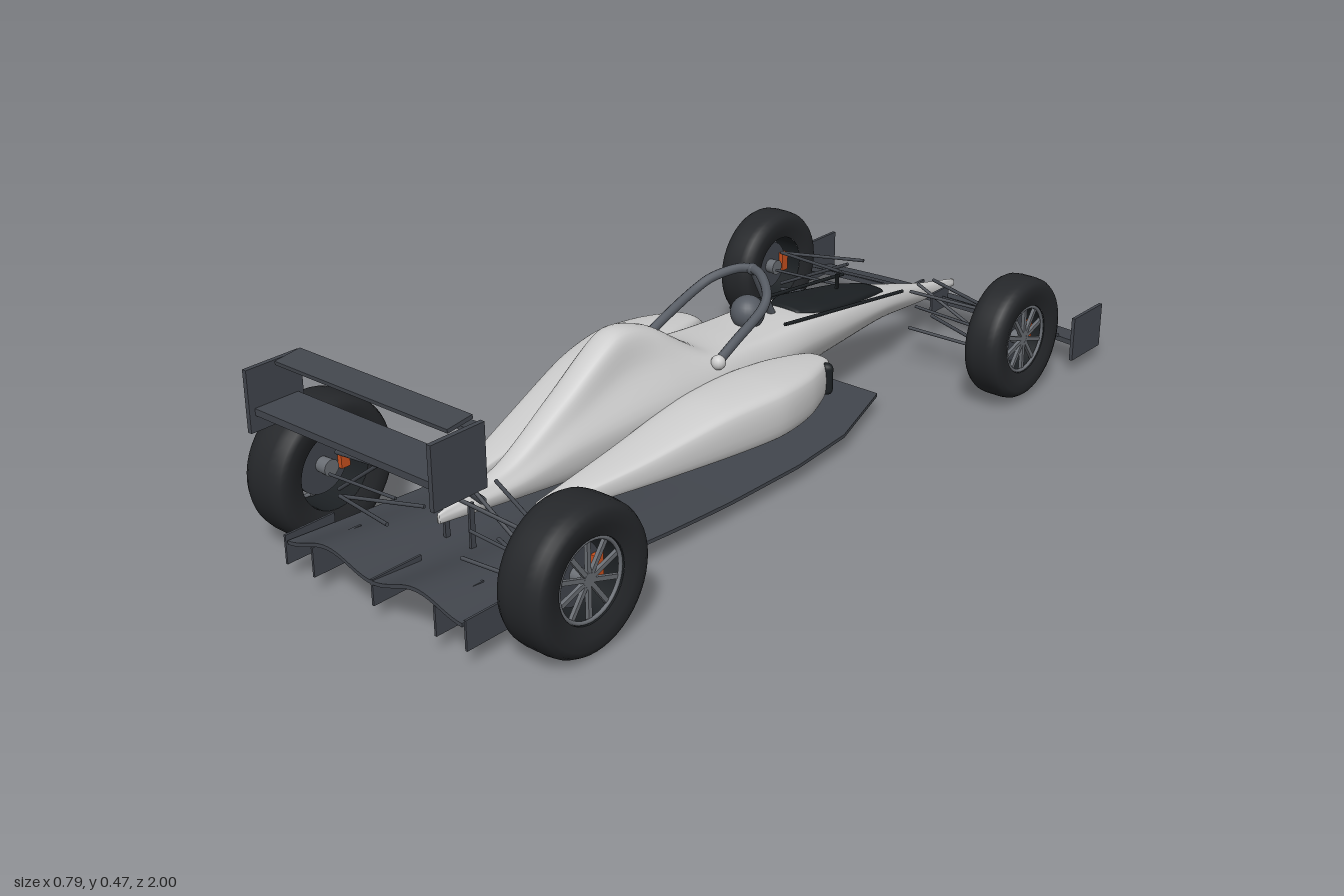
import * as THREE from 'three';

const V = (x, y, z) => new THREE.Vector3(x, y, z);
const mat = (color, side = THREE.FrontSide) => new THREE.MeshStandardMaterial({ color, side });
const M = {
  body: mat(0xcccccc), carbon: mat(0x42464d, THREE.DoubleSide), tube: mat(0x555a62),
  tyre: mat(0x25272a), dark: mat(0x1c2023), rim: mat(0x6a6e74, THREE.DoubleSide), caliper: mat(0xc8501e),
};

export function createModel() {
  const car = new THREE.Group();
  car.name = 'racingCar';

  function add(name, geo, material, parent = car, x = 0, y = 0, z = 0) {
    const m = new THREE.Mesh(geo, material);
    m.name = name;
    m.position.set(x, y, z);
    parent.add(m);
    return m;
  }
  const box = (name, w, h, d, x, y, z, material = M.carbon) =>
    add(name, new THREE.BoxGeometry(w, h, d), material, car, x, y, z);

  // straight round bar between two points
  function rod(name, a, b, r, material = M.carbon) {
    const m = add(name, new THREE.CylinderGeometry(r, r, a.distanceTo(b), 10), material);
    m.position.copy(a).add(b).multiplyScalar(0.5);
    m.quaternion.setFromUnitVectors(V(0, 1, 0), b.clone().sub(a).normalize());
    return m;
  }

  // smooth skin through closed rings running from -z to +z
  function loft(name, rings, material, rows = 60, cols = 40) {
    const rails = rings[0].map((_, i) => new THREE.CatmullRomCurve3(rings.map(r => r[i]), false, 'catmullrom', 0.4));
    const pos = [], idx = [];
    for (let s = 0; s <= rows; s++) {
      const ring = new THREE.CatmullRomCurve3(rails.map(c => c.getPoint(s / rows)), true, 'centripetal');
      for (let i = 0; i < cols; i++) pos.push(...ring.getPoint(i / cols).toArray());
    }
    for (let s = 0; s < rows; s++) for (let i = 0; i < cols; i++) {
      const j = (i + 1) % cols, a = s * cols + i, b = s * cols + j;
      idx.push(a, b, a + cols, b, b + cols, a + cols);
    }
    for (let i = 1; i < cols - 1; i++) {
      const e = rows * cols;
      idx.push(0, i + 1, i, e, e + i, e + i + 1);
    }
    const g = new THREE.BufferGeometry();
    g.setAttribute('position', new THREE.Float32BufferAttribute(pos, 3));
    g.setIndex(idx);
    g.computeVertexNormals();
    return add(name, g, material);
  }

  // hull: z, bottom y/half-width, waist, shoulder, top
  const hull = [
    [-0.955, .095, .003, .102, .006, .108, .004, .112, .003],
    [-0.80, .103, .012, .120, .019, .138, .016, .145, .008],
    [-0.60, .125, .030, .160, .055, .185, .046, .195, .030],
    [-0.40, .128, .050, .180, .085, .215, .075, .226, .050],
    [-0.25, .125, .060, .190, .100, .235, .085, .245, .050],
    [-0.08, .122, .062, .190, .110, .243, .088, .252, .050],
    [0.06, .120, .064, .195, .116, .255, .092, .270, .040],
    [0.19, .118, .062, .200, .106, .290, .068, .345, .030],
    [0.30, .118, .056, .200, .090, .290, .050, .365, .027],
    [0.45, .120, .045, .185, .064, .235, .042, .275, .022],
    [0.60, .125, .025, .155, .037, .175, .027, .190, .014],
    [0.77, .135, .003, .145, .005, .150, .004, .155, .002],
  ];
  loft('hull', hull.map(([z, yb, wb, ym, w, ys, ws, yt, wt]) => {
    const half = [[wb, yb], [w, ym], [ws, ys], [wt, yt]];
    return [...half.map(p => V(p[0], p[1], z)), ...half.reverse().map(p => V(-p[0], p[1], z))];
  }), M.body, 88, 48);

  // rounded-box ring used for the pods and cockpit cover
  const roundRing = (z, cx, hw, yb, yt, k = 0.72) => {
    const cy = (yb + yt) / 2, hh = (yt - yb) / 2;
    return [[1, -k], [1, k], [k, 1], [-k, 1], [-1, k], [-1, -k], [-k, -1], [k, -1]]
      .map(([a, b]) => V(cx + a * hw, cy + b * hh, z));
  };

  // dark cockpit cover lying on top of the hull
  loft('cockpitCover', [
    [-0.605, .033, .180, .200], [-0.52, .048, .195, .219], [-0.40, .062, .205, .236],
    [-0.33, .062, .215, .247], [-0.27, .040, .225, .250],
  ].map(([z, w, a, b]) => roundRing(z, 0, w, a, b, 0.6)), M.dark, 24, 32);
  box('antenna', .006, .035, .008, 0, .25, -.47, M.dark);

  for (const s of [1, -1]) {
    // side pods: z, inner x, outer x, bottom, top
    loft('sidePod', [
      [-0.185, .160, .190, .165, .200], [-0.15, .145, .215, .142, .220], [-0.05, .115, .250, .128, .232],
      [0.06, .100, .261, .124, .236], [0.20, .090, .236, .122, .225], [0.40, .085, .185, .122, .180],
      [0.60, .085, .125, .122, .142],
    ].map(([z, xi, xo, a, b]) => roundRing(z, s * (xi + xo) / 2, (xo - xi) / 2, a, b)), M.body);
    const inlet = add('podInlet', new THREE.CapsuleGeometry(.012, .048, 6, 12), M.dark, car, s * .222, .185, -.135);
    inlet.scale.x = 1.2;

    rod('cockpitRail', V(s * .085, .205, -.61), V(s * .075, .255, -.18), .004, M.dark);

    // head guard: one arm per side
    const arm = new THREE.CatmullRomCurve3([V(s * .1, .255, .085), V(s * .098, .285, .02), V(s * .09, .328, -.085),
      V(s * .075, .346, -.115), V(s * .03, .368, -.15), V(0, .372, -.16)]);
    add('guardArm', new THREE.TubeGeometry(arm, 32, .0105, 10), M.tube);
    add('guardFoot', new THREE.SphereGeometry(.016, 14, 10), M.body, car, s * .1, .258, .075);

    // rear wing plates and struts
    box('rearWingEndplate', .01, .125, .125, s * .24, .393, .935);
    rod('rearWingStrut', V(s * .047, .17, .70), V(s * .047, .365, .895), .008, M.tube);

    // front wing plates and nose pylons
    box('frontWingEndplate', .008, .105, .125, s * .391, .083, -.93);
    box('nosePylon', .006, .05, .07, s * .035, .1, -.845);

    // diffuser fences
    for (const x of [.165, .243]) box('diffuserFence', .005, .062, .12, s * x, .066, .88);
    box('diffuserStay', .006, .1, .012, s * .035, .12, .72);

    wheel('rearWheel', s, .34, .15, .765, .15, .055);
    wheel('frontWheel', s, .35, .148, -.665, .14, .045);

    // suspension: z of hub, then [hub y, inner y] of each arm pair
    for (const [z, xh] of [[.765, .29], [-.665, .31]]) {
      const rear = z > 0;
      for (const dz of [-.05, .045]) {
        rod('upperArm', V(s * xh, .19, z), V(s * .1, rear ? .235 : .205, z + dz), .004);
        rod('lowerArm', V(s * xh, .095, z), V(s * .1, .115, z + dz), .004);
      }
      rod('pushRod', V(s * xh, .11, z), V(s * .1, rear ? .25 : .215, z + .015), .004);
      rod('trackRod', V(s * xh, .15, z + .02), V(s * .1, .16, z + .02), .0035);
    }
  }
  box('diffuserFence', .005, .055, .12, 0, .063, .88);
  rod('guardPillar', V(0, .374, -.16), V(0, .235, -.235), .009, M.tube);
  add('guardJoint', new THREE.SphereGeometry(.013, 14, 10), M.tube, car, 0, .37, -.16);
  add('driverHelmet', new THREE.SphereGeometry(.038, 24, 16), M.tube, car, 0, .275, -.145);

  // rear wing planes
  box('rearWingMain', .48, .014, .1, 0, .37, .935);
  box('rearWingLowerFlap', .45, .007, .04, 0, .437, .875).rotation.x = -.15;
  box('rearWingUpperFlap', .45, .008, .06, 0, .458, .91).rotation.x = .12;

  // swept front wing planes
  function sweptPlane(name, w, h, d, y, z, tilt, sweep) {
    const g = new THREE.BoxGeometry(w, h, d, 24, 1, 4), p = g.attributes.position;
    for (let i = 0; i < p.count; i++) {
      const x = p.getX(i), pz = p.getZ(i);
      p.setY(i, p.getY(i) + tilt * pz);
      p.setZ(i, pz + sweep * (2 * x / w) ** 2);
    }
    g.computeVertexNormals();
    add(name, g, M.carbon, car, 0, y, z);
  }
  sweptPlane('frontWingMain', .78, .012, .085, .055, -.957, .2, .025);
  sweptPlane('frontWingFlap', .68, .008, .068, .087, -.89, .45, .028);

  // floor sheet rising into a double-arched diffuser
  const outline = [[-.4, .17], [-.18, .24], [0, .255], [.4, .248], [.6, .24], [.94, .235]];
  const halfWidth = z => {
    let i = 1;
    while (i < outline.length - 1 && z > outline[i][0]) i++;
    const [z0, w0] = outline[i - 1], [z1, w1] = outline[i];
    return THREE.MathUtils.lerp(w0, w1, (z - z0) / (z1 - z0));
  };
  const floor = new THREE.BoxGeometry(2, .008, 1.34, 40, 1, 67), fp = floor.attributes.position;
  for (let i = 0; i < fp.count; i++) {
    const z = fp.getZ(i) + .27, x = fp.getX(i) * halfWidth(z);
    const t = Math.max(0, (z - .2) / .74) ** 1.3;
    fp.setXYZ(i, x, fp.getY(i) + .04 + t * (.058 - .014 * Math.cos(x * Math.PI / .12)), z);
  }
  floor.computeVertexNormals();
  add('floor', floor, M.carbon);

  // tyre, rim with ten spokes, hub, brake disc and caliper; local +y points outwards
  function wheel(name, s, x, y, z, R, w) {
    const g = new THREE.Group();
    g.name = name;
    g.position.set(s * x, y, z);
    g.rotation.z = -s * Math.PI / 2;
    car.add(g);
    const r = R * .56;
    const half = [[r, .8], [R * .72, .97], [R * .86, 1], [R * .94, .9], [R * .985, .68], [R, .35]];
    const prof = [...half.map(([a, b]) => new THREE.Vector2(a, -b * w)), ...half.reverse().map(([a, b]) => new THREE.Vector2(a, b * w))];
    add('tyre', new THREE.LatheGeometry(prof, 48), M.tyre, g);
    add('rimBarrel', new THREE.CylinderGeometry(r, r, w * 1.6, 40, 1, true), M.dark.clone(), g).material.side = THREE.DoubleSide;
    add('rimRing', new THREE.TorusGeometry(r * .95, .004, 8, 40), M.rim, g, 0, w * .7, 0).rotation.x = Math.PI / 2;
    for (let i = 0; i < 10; i++) {
      const a = i / 10 * Math.PI * 2;
      const sp = add('spoke', new THREE.BoxGeometry(r * .85, .008, .009), M.rim, g, Math.cos(a) * r * .54, w * .62, -Math.sin(a) * r * .54);
      sp.rotation.y = a;
    }
    add('hub', new THREE.CylinderGeometry(.014, .018, w * 1.3, 20), M.rim, g, 0, w * .05, 0);
    add('brakeDisc', new THREE.CylinderGeometry(r * .75, r * .75, .008, 32), M.carbon, g);
    add('brakeCaliper', new THREE.BoxGeometry(.045, .03, .022), M.caliper, g, 0, 0, -r * .6);
  }

  return car;
}
